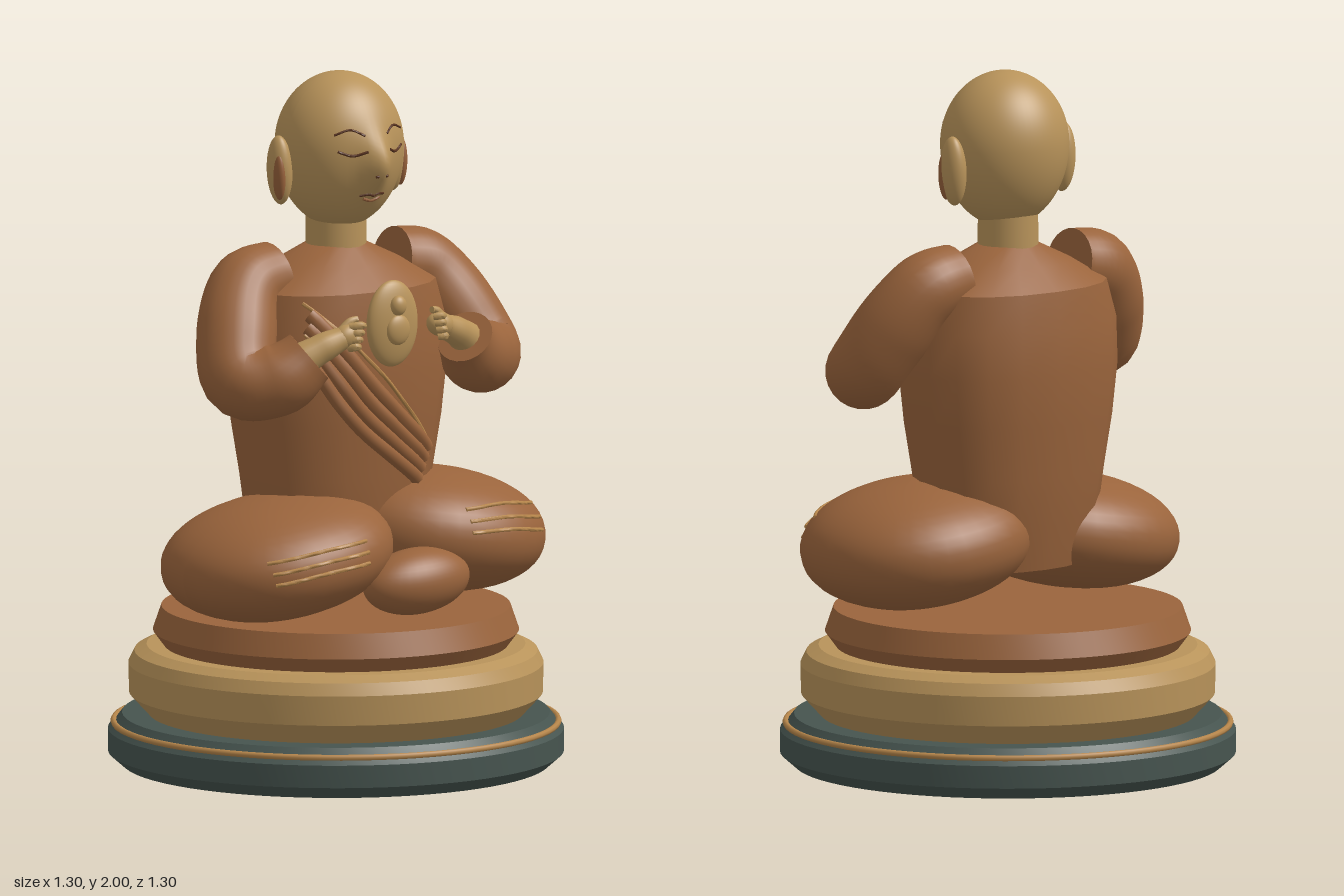
import * as THREE from 'three';
import { toCreasedNormals } from 'three/addons/utils/BufferGeometryUtils.js';

const V = (p) => new THREE.Vector3(...p);
const mat = (name, color) => Object.assign(new THREE.MeshStandardMaterial({ color }), { name });

export function createModel() {
  const model = new THREE.Group();
  const robe = mat('rust robe', 0x9a643c);
  const gold = mat('pale gold', 0xb8935a);
  const slate = mat('slate', 0x46544f);
  const trim = mat('bronze trim', 0xb5854a);
  const copper = mat('copper', 0x96603a);
  const ink = mat('dark brown', 0x5a3420);

  const add = (name, geometry, material, parent = model) => {
    const mesh = new THREE.Mesh(geometry, material);
    mesh.name = name;
    parent.add(mesh);
    return mesh;
  };
  // Moves every vertex of a geometry by a rule
  const shape = (geometry, rule) => {
    const p = geometry.attributes.position;
    const v = new THREE.Vector3();
    for (let i = 0; i < p.count; i++) {
      rule(v.fromBufferAttribute(p, i), i);
      p.setXYZ(i, v.x, v.y, v.z);
    }
    geometry.computeVertexNormals();
    return geometry;
  };
  const ellipsoid = (center, radii, tilt = 0, power = 1) => {
    const g = new THREE.SphereGeometry(1, 36, 24);
    if (power !== 1) shape(g, (v) => v.set(...v.toArray().map((c) => Math.sign(c) * Math.abs(c) ** power)));
    return g.scale(...radii).rotateZ(tilt).translate(...center);
  };
  // Tube with a changing radius and flat closed ends
  const limb = (points, radii, segments = 28, sides = 20) => {
    const curve = new THREE.CatmullRomCurve3(points.map(V));
    const g = new THREE.TubeGeometry(curve, segments, 1, sides);
    const spots = Array.from({ length: segments + 1 }, (_, i) => curve.getPointAt(i / segments));
    const at = (t) => {
      const k = Math.min(t * (radii.length - 1), radii.length - 1.0001);
      const i = Math.floor(k);
      return THREE.MathUtils.lerp(radii[i], radii[i + 1], THREE.MathUtils.smoothstep(k - i, 0, 1));
    };
    shape(g, (v, i) => {
      const ring = Math.floor(i / (sides + 1));
      const end = ring === 0 || ring === segments;
      v.sub(spots[ring]).multiplyScalar(end ? 0 : at(ring / segments));
      v.add(spots[THREE.MathUtils.clamp(ring, 1, segments - 1)]);
    });
    return toCreasedNormals(g, 0.9);
  };
  // Thin line laid on the front of a mesh through x, y points
  const ray = new THREE.Raycaster();
  const lineOn = (name, mesh, points, radius, material, lift = 0) => {
    const flat = new THREE.CatmullRomCurve3(points.map(([x, y]) => V([x, y, 0])));
    const path = [];
    for (const p of flat.getPoints(16)) {
      ray.set(V([p.x, p.y, 3]), V([0, 0, -1]));
      const hit = ray.intersectObject(mesh)[0];
      if (hit) path.push([p.x, p.y, hit.point.z + lift]);
    }
    if (path.length > 2) add(name, limb(path, [radius, radius], 24, 8), material);
  };

  // Stepped round base
  const tier = (name, profile, material) => add(name, toCreasedNormals(
    new THREE.LatheGeometry(profile.map(([r, y]) => new THREE.Vector2(r, y)), 72), 0.4), material);
  tier('plinth', [[0, 0], [0.61, 0], [0.65, 0.035], [0.65, 0.1], [0.63, 0.12], [0.61, 0.145], [0, 0.145]], slate);
  add('plinthTrim', new THREE.TorusGeometry(0.634, 0.009, 8, 72).rotateX(Math.PI / 2).translate(0, 0.12, 0), trim);
  tier('middleTier', [[0, 0.14], [0.53, 0.14], [0.59, 0.205], [0.592, 0.29], [0.575, 0.325], [0.54, 0.343], [0, 0.343]], gold);
  tier('seatCushion', [[0, 0.335], [0.485, 0.335], [0.522, 0.385], [0.498, 0.455], [0, 0.455]], robe);

  // Crossed legs and the tucked foot, with hem lines
  const legs = [
    add('leftLeg', ellipsoid([0.28, 0.66, 0.07], [0.33, 0.178, 0.32], -0.13, 0.94), robe),
    add('rightLeg', ellipsoid([-0.28, 0.638, 0.095], [0.335, 0.168, 0.315], 0.16, 0.94), robe),
  ];
  add('foot', ellipsoid([0.04, 0.565, 0.33], [0.175, 0.095, 0.1], 0.06), robe);
  for (let i = 0; i < 3; i++) {
    const d = i * 0.031;
    lineOn('leftHemLine', legs[0], [[0.19, 0.755 - d], [0.35, 0.757 - d * 1.1], [0.52 - d * 0.2, 0.73 - d * 1.1]], 0.006, trim);
    lineOn('rightHemLine', legs[1], [[-0.5 + d * 0.2, 0.665 - d], [-0.33, 0.695 - d], [-0.16, 0.71 - d]], 0.006, trim);
  }

  // Torso: squarish oval rings from neck to hips, as [y, half width, half depth]
  const rings = [[1.505, 0.085, 0.08], [1.45, 0.2, 0.15], [1.39, 0.3, 0.222], [1.28, 0.332, 0.238], [1.15, 0.335, 0.243],
    [1.0, 0.318, 0.232], [0.85, 0.292, 0.215], [0.72, 0.275, 0.2], [0.58, 0.22, 0.17]];
  const torsoShape = shape(new THREE.CylinderGeometry(1, 1, 1, 18, rings.length - 1), (v) => {
    const [y, w, d] = rings[Math.round((0.5 - v.y) * (rings.length - 1))];
    const bend = (c) => Math.sign(c) * Math.abs(c) ** 0.88;
    v.set(bend(v.x) * w, y, bend(v.z) * d);
  });
  const torso = add('torso', toCreasedNormals(torsoShape, 0.5), robe);

  // Sash: gold edging and soft folds across the chest
  lineOn('sashEdge', torso, [[-0.25, 1.385], [-0.02, 1.16], [0.195, 0.925]], 0.006, trim, 0.003);
  lineOn('sashInnerEdge', torso, [[-0.26, 1.3], [-0.06, 1.08], [0.19, 0.885]], 0.005, trim, 0.012);
  for (let i = 0; i < 4; i++) {
    lineOn('sashFold', torso, [[-0.262 + i * 0.008, 1.25 + i * 0.035], [-0.11 + i * 0.026, 1.03 + i * 0.027],
      [0.16 + i * 0.012, 0.82 + i * 0.028]], 0.021, robe, 0.004);
  }

  // Arms, hands and ears on both sides
  for (const s of [1, -1]) {
    const m = (list) => list.map(([x, y, z]) => [x * s, y, z]);
    const side = s > 0 ? 'left' : 'right';
    const arm = new THREE.Group();
    arm.name = side + 'Arm';
    model.add(arm);
    add('sleeve', limb(m([[0.195, 1.43, -0.018], [0.31, 1.4, -0.01], [0.39, 1.28, 0.05], [0.425, 1.165, 0.125],
      [0.35, 1.17, 0.2], [0.265, 1.245, 0.25]]), [0.098, 0.108, 0.115, 0.112, 0.105, 0.082], 40, 24), robe, arm);
    add('wrist', limb(m([[0.3, 1.22, 0.23], [0.24, 1.255, 0.255], [0.17, 1.285, 0.275]]), [0.05, 0.042, 0.033], 14, 16), gold, arm);
    add('palm', ellipsoid([0.165 * s, 1.287, 0.277], [0.045, 0.035, 0.032], -0.3 * s), gold, arm);
    for (let i = 0; i < 4; i++) {
      const y = 1.318 - i * 0.02;
      const x = 0.118 + i * 0.006;
      add('finger', limb(m([[0.17, y - 0.006, 0.285], [x + 0.022, y, 0.308], [x, y - 0.004, 0.296]]),
        [0.012, 0.012, 0.009], 10, 8), gold, arm);
    }
    add('thumb', limb(m([[0.18, 1.3, 0.27], [0.155, 1.325, 0.275], [0.125, 1.335, 0.282]]), [0.015, 0.013, 0.009], 10, 8), gold, arm);
    add(side + 'Ear', ellipsoid([0.2 * s, 1.732, 0], [0.034, 0.1, 0.042], -0.04 * s), gold);
    add(side + 'EarHollow', ellipsoid([0.216 * s, 1.717, 0.018], [0.016, 0.068, 0.024], -0.04 * s), copper);
  }

  // Medallion with a tiny seated figure
  add('medallion', ellipsoid([0, 1.305, 0.268], [0.088, 0.125, 0.033]), gold);
  add('medallionBody', ellipsoid([0, 1.29, 0.297], [0.04, 0.044, 0.018]), gold);
  add('medallionHead', ellipsoid([0, 1.36, 0.298], [0.026, 0.029, 0.02]), gold);

  // Neck and head, with the nose drawn out of the face
  add('neck', new THREE.CylinderGeometry(0.086, 0.088, 0.13, 32).translate(0, 1.535, 0), gold);
  const head = add('head', shape(new THREE.SphereGeometry(1, 64, 48), (v) => {
    const front = Math.max(v.z, 0);
    v.set(v.x * 0.187, 1.79 + v.y * (v.y > 0 ? 0.21 : 0.24), 0.015 + v.z * 0.18);
    v.z += front * 0.047 * Math.exp(-((v.x / 0.045) ** 2) - ((v.y - 1.75) / 0.08) ** 2);
  }), gold);

  // Closed eyes, brows, nostrils and lips
  for (const s of [1, -1]) {
    lineOn('eyelid', head, [[0.035 * s, 1.797], [0.075 * s, 1.784], [0.115 * s, 1.798]], 0.004, ink);
    lineOn('eyebrow', head, [[0.035 * s, 1.838], [0.075 * s, 1.857], [0.12 * s, 1.842]], 0.0035, ink);
    lineOn('nostril', head, [[0.012 * s, 1.722], [0.016 * s, 1.724], [0.02 * s, 1.722]], 0.004, ink);
  }
  lineOn('upperLip', head, [[-0.045, 1.663], [-0.015, 1.667], [0, 1.662], [0.015, 1.667], [0.045, 1.663]], 0.004, ink);
  lineOn('lowerLip', head, [[-0.03, 1.655], [0, 1.646], [0.03, 1.655]], 0.005, copper);

  return model;
}
